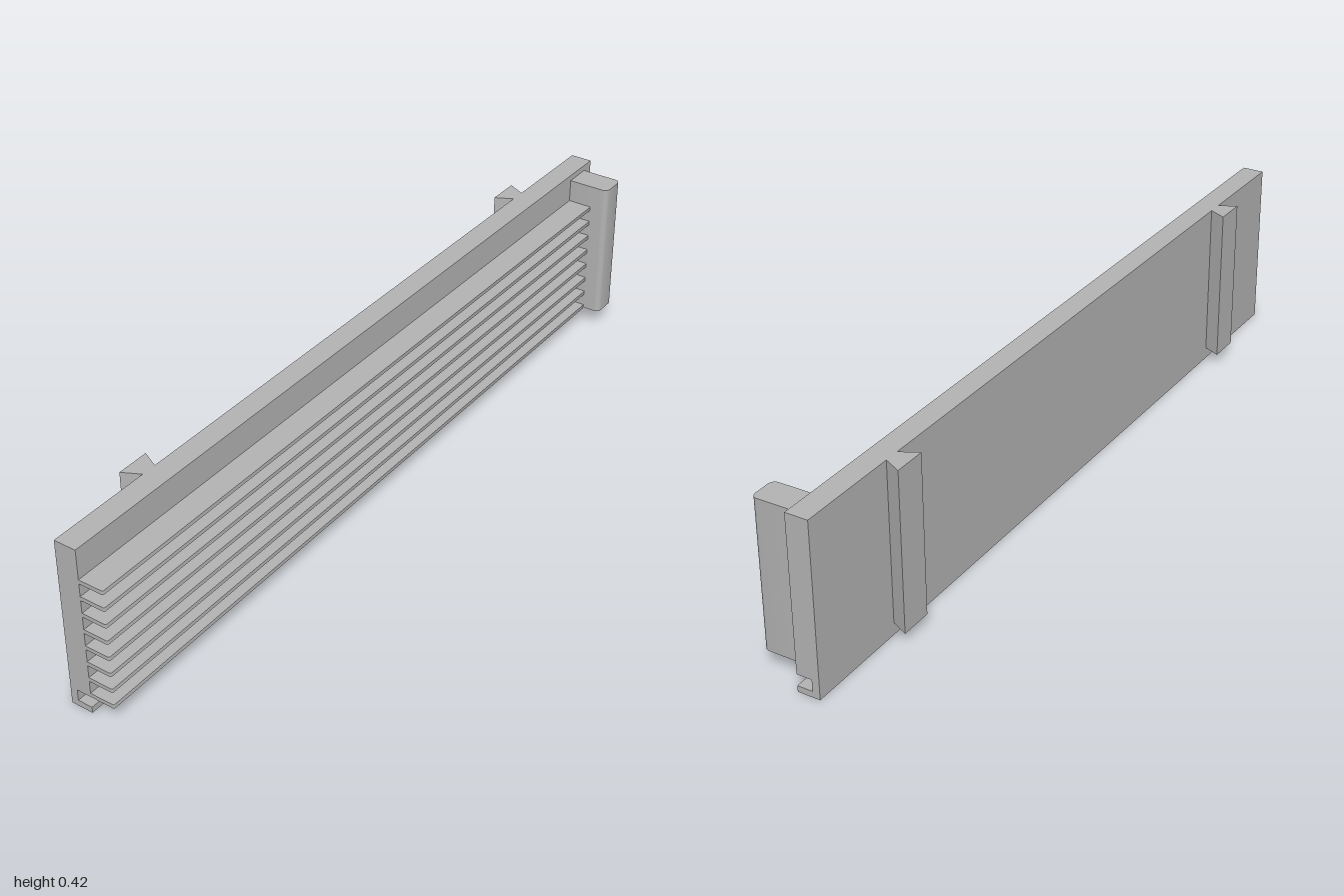
import * as THREE from 'three';
import { toCreasedNormals } from 'three/addons/utils/BufferGeometryUtils.js';

const grey = new THREE.MeshStandardMaterial({ color: 0xb3b3b3 });
grey.name = 'plain grey';

const BACK = -0.06, FACE = -0.005; // back and slatted face of the panel, in x

function addMesh(parent, name, geometry) {
  const mesh = new THREE.Mesh(geometry, grey);
  mesh.name = name;
  parent.add(mesh);
}

function polygon(points) {
  return new THREE.Shape(points.map(([x, y]) => new THREE.Vector2(x, y)));
}

// Extrude a section drawn in x and y along z
function alongZ(shape, z0, z1) {
  return new THREE.ExtrudeGeometry(shape, { depth: z1 - z0, bevelEnabled: false }).translate(0, 0, z0);
}

// Extrude a plan drawn in x and -z upwards
function upwards(shape, y0, y1) {
  const g = new THREE.ExtrudeGeometry(shape, { depth: y1 - y0, bevelEnabled: false, curveSegments: 8 });
  return toCreasedNormals(g.rotateX(-Math.PI / 2).translate(0, y0, 0), 0.6);
}

// Plan from the panel face out to x1, with the two outer corners rounded
function roundedPlan(x1, z0, z1, r) {
  const s = new THREE.Shape();
  s.moveTo(FACE, -z1);
  s.lineTo(x1 - r, -z1);
  s.absarc(x1 - r, -z1 + r, r, -Math.PI / 2, 0, false);
  s.lineTo(x1, -z0 - r);
  s.absarc(x1 - r, -z0 - r, r, 0, Math.PI / 2, false);
  s.lineTo(FACE, -z0);
  s.closePath();
  return s;
}

export function createModel() {
  const model = new THREE.Group();
  model.name = 'slattedPanel';

  // Panel: solid middle, and a notch near the foot of each end
  const solid = polygon([[BACK, 0], [FACE, 0], [FACE, 0.42], [BACK, 0.42]]);
  const notched = polygon([
    [BACK, 0], [FACE, 0], [FACE, 0.015], [-0.042, 0.015],
    [-0.042, 0.043], [FACE, 0.043], [FACE, 0.42], [BACK, 0.42],
  ]);
  addMesh(model, 'panelMiddle', alongZ(solid, -0.86, 0.86));
  addMesh(model, 'panelFrontEnd', alongZ(notched, 0.86, 1));
  addMesh(model, 'panelBackEnd', alongZ(notched, -1, -0.86));

  // Eight thin slats
  for (let i = 0; i < 8; i++) {
    const y = 0.043 + i * 0.042;
    addMesh(model, 'slat' + (i + 1), upwards(roundedPlan(0.057, -0.9, 1, 0.004), y, y + 0.01));
  }

  // Upright block closing the slats at the back end
  addMesh(model, 'endBlock', upwards(roundedPlan(0.102, -0.968, -0.898, 0.015), 0.045, 0.405));

  // Dovetail rails on the rear of the panel
  for (const z of [-0.723, 0.717]) {
    const rail = polygon([[BACK, -z - 0.019], [BACK, -z + 0.019], [-0.103, -z + 0.041], [-0.103, -z - 0.041]]);
    addMesh(model, 'dovetailRail', upwards(rail, 0.03, 0.42));
  }
  return model;
}
